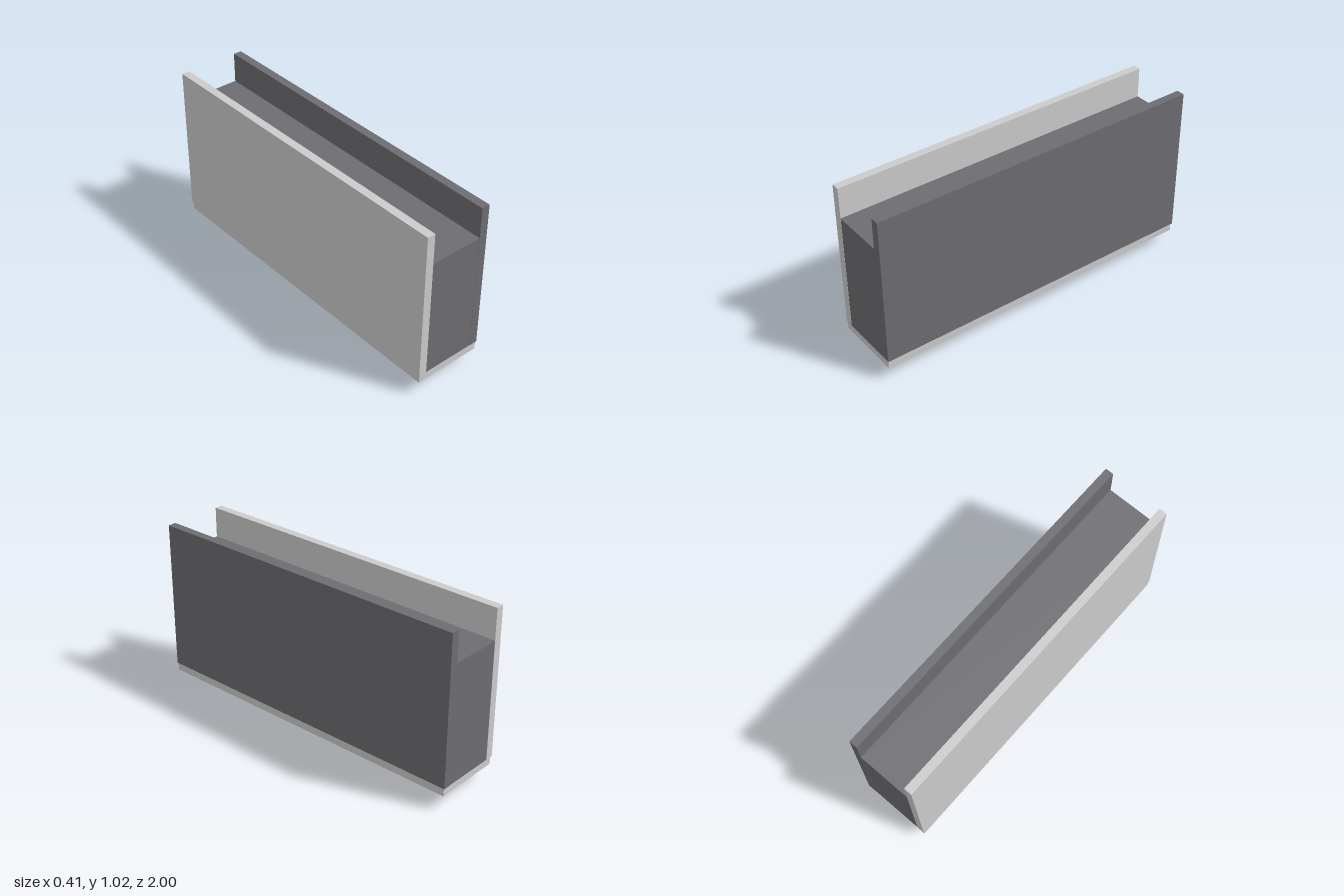
import * as THREE from 'three';

export function createModel() {
  const model = new THREE.Group();
  const light = new THREE.MeshStandardMaterial({ color: 0xcccccc });
  const dark = new THREE.MeshStandardMaterial({ color: 0x6c6c72 });
  const metal = new THREE.MeshStandardMaterial({ color: 0x77777a });

  // Box given by its lower and upper corners
  function box(name, material, [x0, y0, z0], [x1, y1, z1]) {
    const mesh = new THREE.Mesh(new THREE.BoxGeometry(x1 - x0, y1 - y0, z1 - z0), material);
    mesh.name = name;
    mesh.position.set((x0 + x1) / 2, (y0 + y1) / 2, (z0 + z1) / 2);
    model.add(mesh);
  }

  // Cabinet lying on its door: side panels, body, back sheet and door
  box('rightPanel', light, [-0.207, 0.136, -1], [-0.159, 1.022, 1]);
  box('leftPanel', dark, [0.157, 0.136, -1], [0.206, 1.022, 1]);
  box('body', dark, [-0.159, 0.136, -0.999], [0.157, 0.836, 0.999]);
  box('backSheet', dark, [-0.174, 0.835, -1], [0.157, 0.841, 1]);
  box('door', light, [-0.203, 0.087, -0.993], [0.2, 0.135, 0.997]);

  // Bar handle on two posts beneath the door
  const handle = new THREE.Group();
  handle.name = 'handle';
  handle.position.set(-0.013, 0, -0.733);
  const bar = new THREE.Mesh(new THREE.CylinderGeometry(0.014, 0.014, 0.272, 24), metal);
  bar.name = 'handleBar';
  bar.rotation.x = Math.PI / 2;
  bar.position.y = 0.014;
  handle.add(bar);
  for (const side of [-1, 1]) {
    const post = new THREE.Mesh(new THREE.CylinderGeometry(0.007, 0.007, 0.075, 16), metal);
    post.name = 'handlePost';
    post.position.set(0, 0.0525, side * 0.067);
    handle.add(post);
  }
  model.add(handle);
  return model;
}
